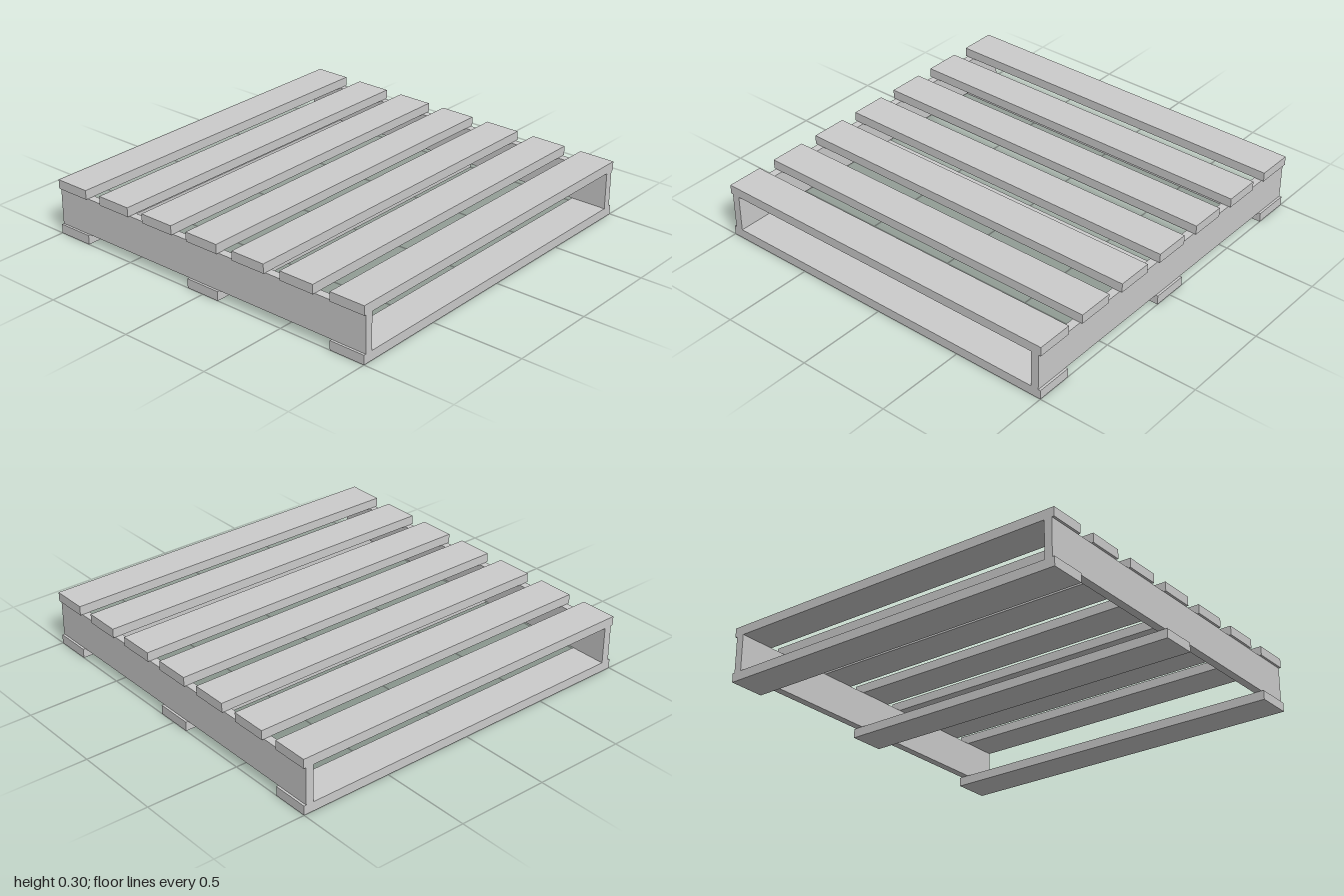
import * as THREE from 'three';

export function createModel() {
  const pallet = new THREE.Group();
  pallet.name = 'pallet';
  const wood = new THREE.MeshStandardMaterial({ color: 0xcccccc, flatShading: true });

  function board(name, w, h, d, x, y, z) {
    const mesh = new THREE.Mesh(new THREE.BoxGeometry(w, h, d), wood);
    mesh.name = name;
    mesh.position.set(x, y, z);
    pallet.add(mesh);
  }

  const width = 0.2, thick = 0.05;

  // Seven evenly spaced deck boards running front to back
  for (let i = 0; i < 7; i++) {
    board(`deckBoard${i + 1}`, width, thick, 2, -0.9 + i * 0.3, 0.275, 0);
  }

  // Upright stringers, slightly inset from the front and back ends
  board('frontStringer', 2, 0.2, 0.043, 0, 0.15, 0.966);
  board('backStringer', 2, 0.2, 0.043, 0, 0.15, -0.966);

  // Three bottom runners
  [-0.9, 0, 0.9].forEach((x, i) => {
    board(`bottomRunner${i + 1}`, width, thick, 2, x, 0.025, 0);
  });

  return pallet;
}
